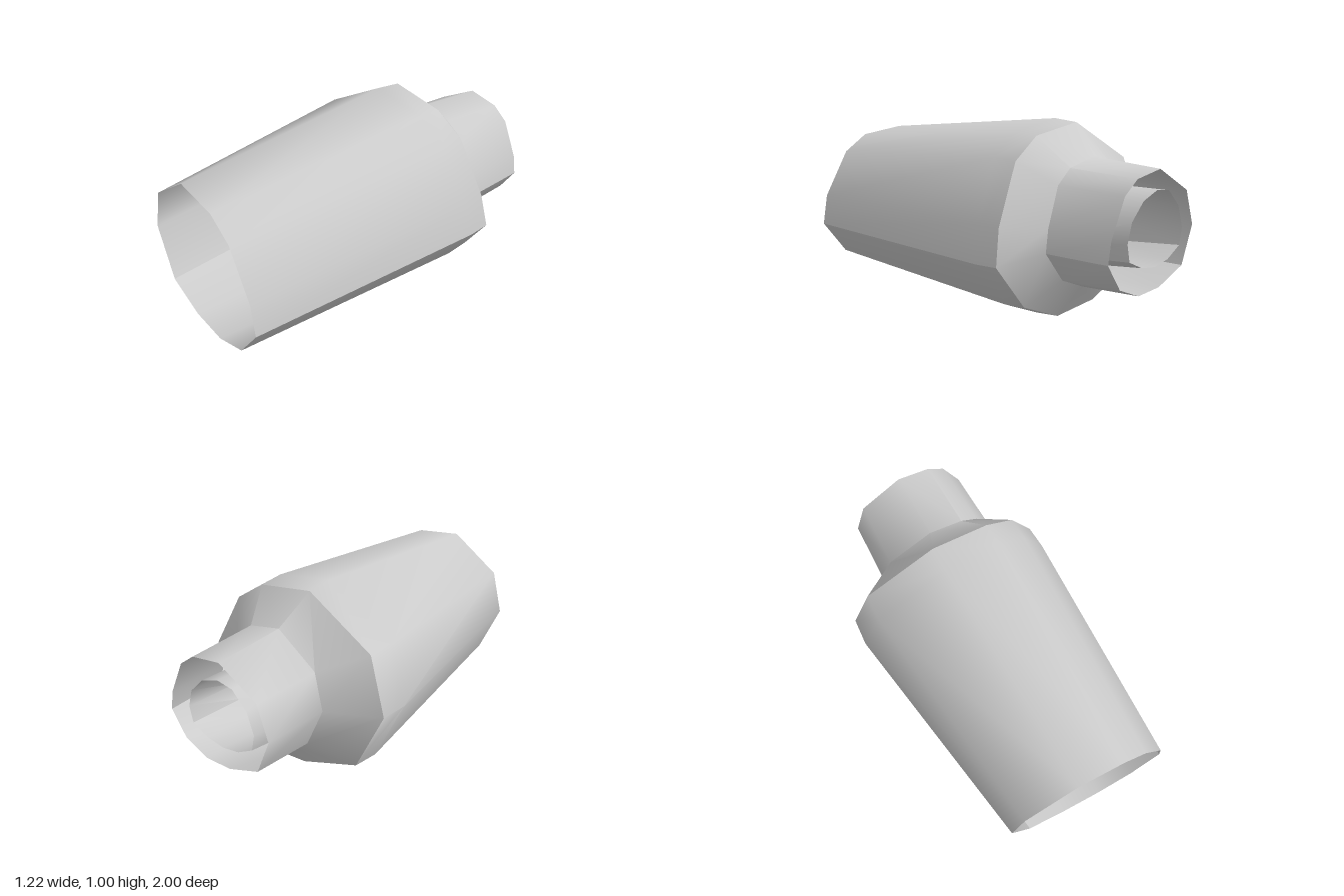
import * as THREE from 'three';
import { toCreasedNormals } from 'three/addons/utils/BufferGeometryUtils.js';

// Outlines, clockwise as seen from the front: [x, y] pairs
const mouth = [[-0.385, 0.46], [-0.32, 0.7], [-0.035, 0.89], [0.235, 0.855], [0.38, 0.76], [0.53, 0.505],
  [0.56, 0.335], [0.41, 0.145], [0.2, 0.075], [-0.03, 0.09], [-0.26, 0.18]];
const belly = [[-0.61, 0.475], [-0.5, 0.78], [-0.09, 1.005], [0.24, 0.955], [0.41, 0.84], [0.565, 0.53],
  [0.605, 0.34], [0.43, 0.105], [0.18, 0.003], [-0.12, 0.025], [-0.465, 0.145]];
const neckBase = [[-0.345, 0.49], [-0.28, 0.68], [-0.03, 0.83], [0.165, 0.79], [0.265, 0.715], [0.36, 0.515],
  [0.39, 0.4], [0.285, 0.25], [0.135, 0.19], [-0.05, 0.2], [-0.26, 0.28]];
const neckEnd = [[-0.335, 0.49], [-0.27, 0.675], [-0.03, 0.805], [0.155, 0.775], [0.25, 0.705], [0.345, 0.51],
  [0.365, 0.4], [0.27, 0.265], [0.12, 0.205], [-0.05, 0.215], [-0.25, 0.29]];
const tubeFront = [[-0.25, 0.46], [-0.205, 0.6], [-0.11, 0.685], [-0.01, 0.695], [0.09, 0.66], [0.18, 0.58],
  [0.245, 0.445], [0.215, 0.36], [0.12, 0.305], [-0.005, 0.285], [-0.13, 0.31], [-0.23, 0.365]];
const tubeEnd = [[-0.24, 0.49], [-0.2, 0.605], [-0.11, 0.692], [-0.01, 0.705], [0.1, 0.665], [0.19, 0.575],
  [0.22, 0.475], [0.2, 0.385], [0.1, 0.34], [-0.01, 0.325], [-0.12, 0.345], [-0.22, 0.4]];

// Places an outline in a plane that may lean with x and y
const ring = (outline, z, leanX = 0, leanY = 0) =>
  outline.map(([x, y]) => [x, y, z + leanX * x + leanY * y]);

// Skins rings running front to back, keeping only the sharper edges
function loft(rings) {
  const n = rings[0].length;
  const index = [];
  for (let i = 0; i < rings.length - 1; i++) {
    for (let j = 0; j < n; j++) {
      const k = (j + 1) % n;
      const a = i * n + j, b = i * n + k, c = a + n, d = b + n;
      index.push(a, b, c, b, d, c);
    }
  }
  const geometry = new THREE.BufferGeometry();
  geometry.setAttribute('position', new THREE.Float32BufferAttribute(rings.flat(2), 3));
  geometry.setIndex(index);
  return toCreasedNormals(geometry, THREE.MathUtils.degToRad(44));
}

export function createModel() {
  const group = new THREE.Group();
  const gray = new THREE.MeshStandardMaterial({ color: 0xcccccc, side: THREE.DoubleSide });
  gray.name = 'plain gray';

  const add = (name, rings) => {
    const mesh = new THREE.Mesh(loft(rings), gray);
    mesh.name = name;
    group.add(mesh);
  };

  // Slightly drawn-in copy of the widest outline, where the shoulder starts
  const rim = belly.map(([x, y]) => [x * 0.985, 0.5 + (y - 0.5) * 0.975]);
  const shoulderRing = ring(rim, -0.54, -0.02, 0.11);

  // Open tapering body
  add('body', [ring(mouth, 1), ring(belly, -0.4, -0.04, 0.115), shoulderRing]);

  // Shoulder narrowing into the open neck
  add('shoulderAndNeck', [shoulderRing, ring(neckBase, -0.69, 0, 0.11), ring(neckEnd, -1)]);

  // Loose thin sleeve inside the neck
  add('innerTube', [ring(tubeFront, -0.66), ring(tubeEnd, -1)]);

  return group;
}
